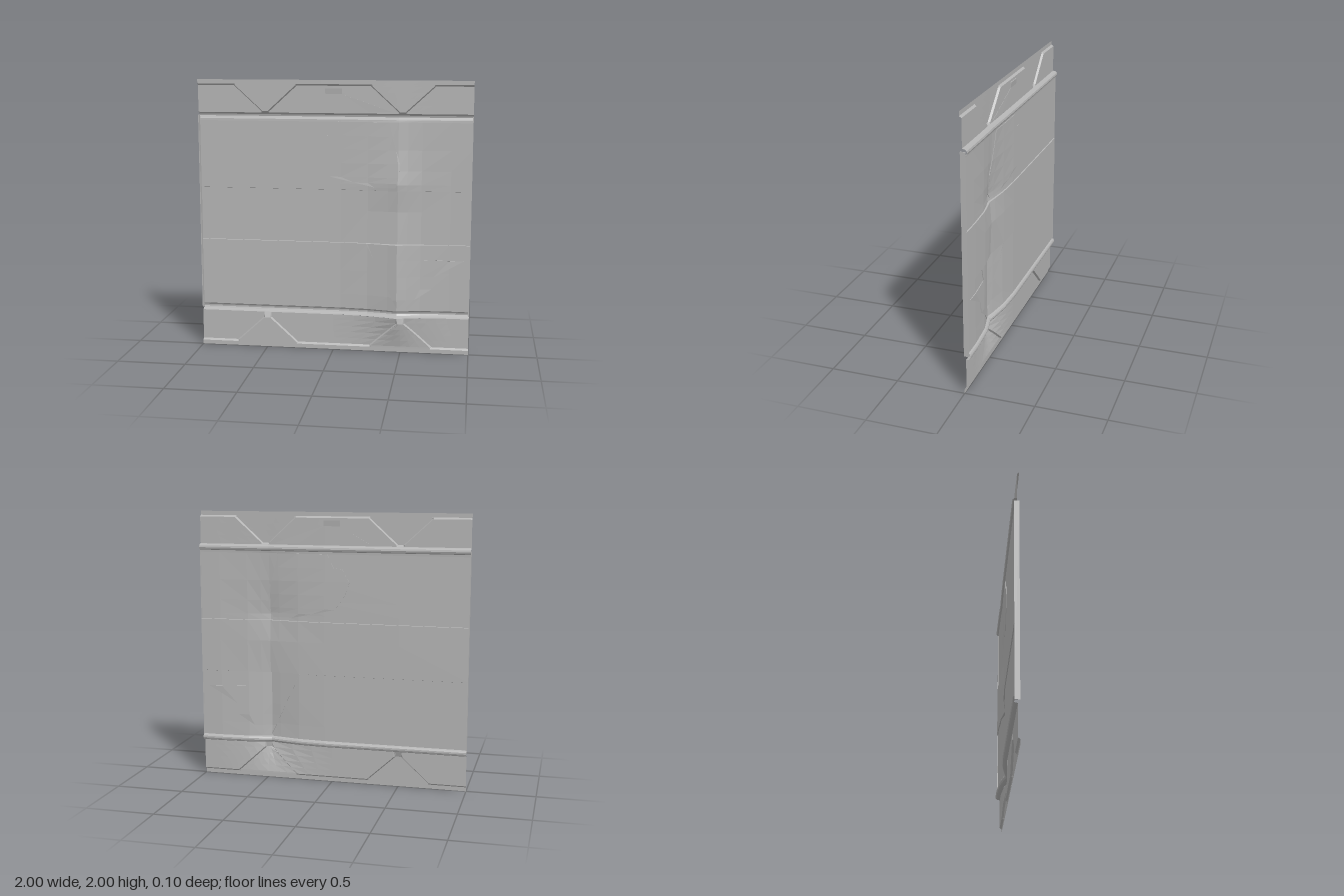
import * as THREE from 'three';

const steel = new THREE.MeshStandardMaterial({ color: 0xb4b4b4, flatShading: true, side: THREE.DoubleSide });
steel.name = 'bare steel';

// Pressed sheet from top to bottom: [y, z, height of the dent]
const SHEET = [
  [1.762, -0.015, 0.004], [1.758, -0.035, 0.004], [1.748, -0.046, 0.004], [1.735, -0.049, 0.004],
  [1.722, -0.044, 0.004], [1.716, -0.032, 0.004], [1.7, -0.031, 0.006], [1.5, -0.031, 0.018],
  [1.35, -0.031, 0.034], [1.25, -0.031, 0.046], [1.205, -0.031, 0.042],
  [1.203, -0.038, 0.034], [1.05, -0.038, 0.024], [0.812, -0.038, 0.034],
  [0.81, -0.031, 0.055], [0.6, -0.031, 0.057], [0.42, -0.031, 0.06], [0.315, -0.031, 0.055],
  [0.31, -0.042, 0.05], [0.3, -0.048, 0.047], [0.288, -0.049, 0.047], [0.276, -0.044, 0.05],
  [0.27, -0.034, 0.055], [0.265, -0.015, 0.06],
];
const DENT = [[0.05, 0], [0.25, 0.22], [0.4, 0.7], [0.47, 1], [0.54, 0.65], [0.64, 0.25], [0.85, 0]];

// Linear interpolation through points sorted by rising x
function lerpTable(table, x) {
  if (x <= table[0][0]) return table[0][1];
  for (let i = 1; i < table.length; i++) {
    const [x0, a] = table[i - 1], [x1, b] = table[i];
    if (x <= x1) return a + (b - a) * (x - x0) / (x1 - x0);
  }
  return table[table.length - 1][1];
}
const PEAKS = [[0.04, 0], ...SHEET.map(([y, , p]) => [y, p]).reverse(), [2, 0]];
const dentAt = (x, y, peak = lerpTable(PEAKS, y)) => peak * lerpTable(DENT, x);

// Skin rows of points (top to bottom, left to right), dropping empty triangles
function skin(rows, name) {
  const pos = [], tri = new THREE.Triangle();
  const add = (a, b, c) => {
    tri.set(new THREE.Vector3(...a), new THREE.Vector3(...b), new THREE.Vector3(...c));
    if (tri.getArea() > 1e-9) pos.push(...a, ...b, ...c);
  };
  for (let i = 0; i + 1 < rows.length; i++) {
    for (let j = 0; j + 1 < rows[i].length; j++) {
      const a = rows[i][j], b = rows[i][j + 1], c = rows[i + 1][j], d = rows[i + 1][j + 1];
      add(a, c, b);
      add(b, c, d);
    }
  }
  const geometry = new THREE.BufferGeometry();
  geometry.setAttribute('position', new THREE.Float32BufferAttribute(pos, 3));
  geometry.computeVertexNormals();
  const mesh = new THREE.Mesh(geometry, steel);
  mesh.name = name;
  return mesh;
}

// Three overlapping strips between two pressed rails
function mainSheet() {
  const xs = [-1, -0.5, ...DENT.map(p => p[0]), 1];
  return skin(SHEET.map(([y, z, peak]) => xs.map(x => [x, y, z + dentAt(x, y, peak)])), 'mainSheet');
}

// End band with sunken trapezoid fields; flip makes the lower one
function endBand(flip, name) {
  const DEPTH = -0.015, SPLIT = 6;
  const row = (y, t, plateau, field) => {
    const w = 0.02 + 0.2 * t, f = w + 0.012;
    const stops = [[-1, field]];
    for (const c of [-0.5, 0.5]) stops.push([c - f, field], [c - w, plateau], [c + w, plateau], [c + f, field]);
    stops.push([1, field]);
    const yy = flip ? 2 - y : y, out = [];
    for (let k = 0; k + 1 < stops.length; k++) {
      for (let s = 0; s < SPLIT; s++) {
        const u = s / SPLIT;
        const x = stops[k][0] + (stops[k + 1][0] - stops[k][0]) * u;
        const z = stops[k][1] + (stops[k + 1][1] - stops[k][1]) * u;
        out.push([x, yy, z + dentAt(x, yy)]);
      }
    }
    out.push([1, yy, field]);
    return out;
  };
  const rows = [row(2, 1, 0, 0), row(1.97, 1, 0, 0)];
  for (const t of [1, 0.75, 0.5, 0.25, 0]) rows.push(row(1.775 + 0.183 * t, t, 0, DEPTH));
  rows.push(row(flip ? 1.735 : 1.762, 0, DEPTH, DEPTH));
  return skin(flip ? rows.reverse() : rows, name);
}

// Thin torn plate following the sheet: outline rows of [y, left, right, half thickness]
function tornPlate(outline, z, name) {
  const group = new THREE.Group();
  group.name = name;
  const layer = (side) => outline.map(([y, left, right, half = 0.004]) =>
    [left, ...DENT.map(p => p[0]), right].map(v => {
      const x = Math.min(right, Math.max(left, v));
      return [x, y, z + dentAt(x, y) + side * half];
    }));
  const front = layer(1), back = layer(-1);
  const last = front.length - 1, end = front[0].length - 1;
  group.add(
    skin(front, name + 'Front'),
    skin(back.map(r => [...r].reverse()), name + 'Back'),
    skin([back[0], front[0]], name + 'TopEdge'),
    skin([front[last], back[last]], name + 'BottomEdge'),
    skin(front.map((r, i) => [back[i][0], r[0]]), name + 'RightEdge'),
    skin(front.map((r, i) => [r[end], back[i][end]]), name + 'LeftEdge'),
  );
  return group;
}

export function createModel() {
  const model = new THREE.Group();
  model.name = 'dentedWallPanel';
  model.add(mainSheet(), endBand(false, 'upperBand'), endBand(true, 'lowerBand'));

  // Folded side flanges
  for (const side of [-1, 1]) {
    const flange = new THREE.Mesh(new THREE.BoxGeometry(0.006, 1.45, 0.036), steel);
    flange.position.set(side * 0.997, 1.015, -0.018);
    flange.name = side > 0 ? 'leftFlange' : 'rightFlange';
    model.add(flange);
  }

  // Torn areas
  model.add(tornPlate([
    [1.7, 0.03, 0.4], [1.6, -0.02, 0.425], [1.595, -0.08, 0.427], [1.5, -0.135, 0.455],
    [1.4, -0.1, 0.485], [1.3, -0.03, 0.48], [1.26, 0.15, 0.47], [1.228, 0.3, 0.45],
  ], -0.031, 'upperTear'));
  model.add(tornPlate([
    [0.81, 0.24, 0.7], [0.7, 0.295, 0.66], [0.695, 0.297, 0.95], [0.57, 0.36, 0.735],
    [0.48, 0.4, 0.72], [0.4, 0.44, 0.6], [0.33, 0.475, 0.53],
  ], -0.031, 'lowerTear'));

  // Shallow arched crease in the upper middle field
  model.add(tornPlate([
    [1.94, -0.06, 0.06, 0.007], [1.9, -0.06, 0.06, 0.002], [1.775, -0.28, 0.42, 0.002],
  ], -0.015, 'archedCrease'));
  return model;
}
